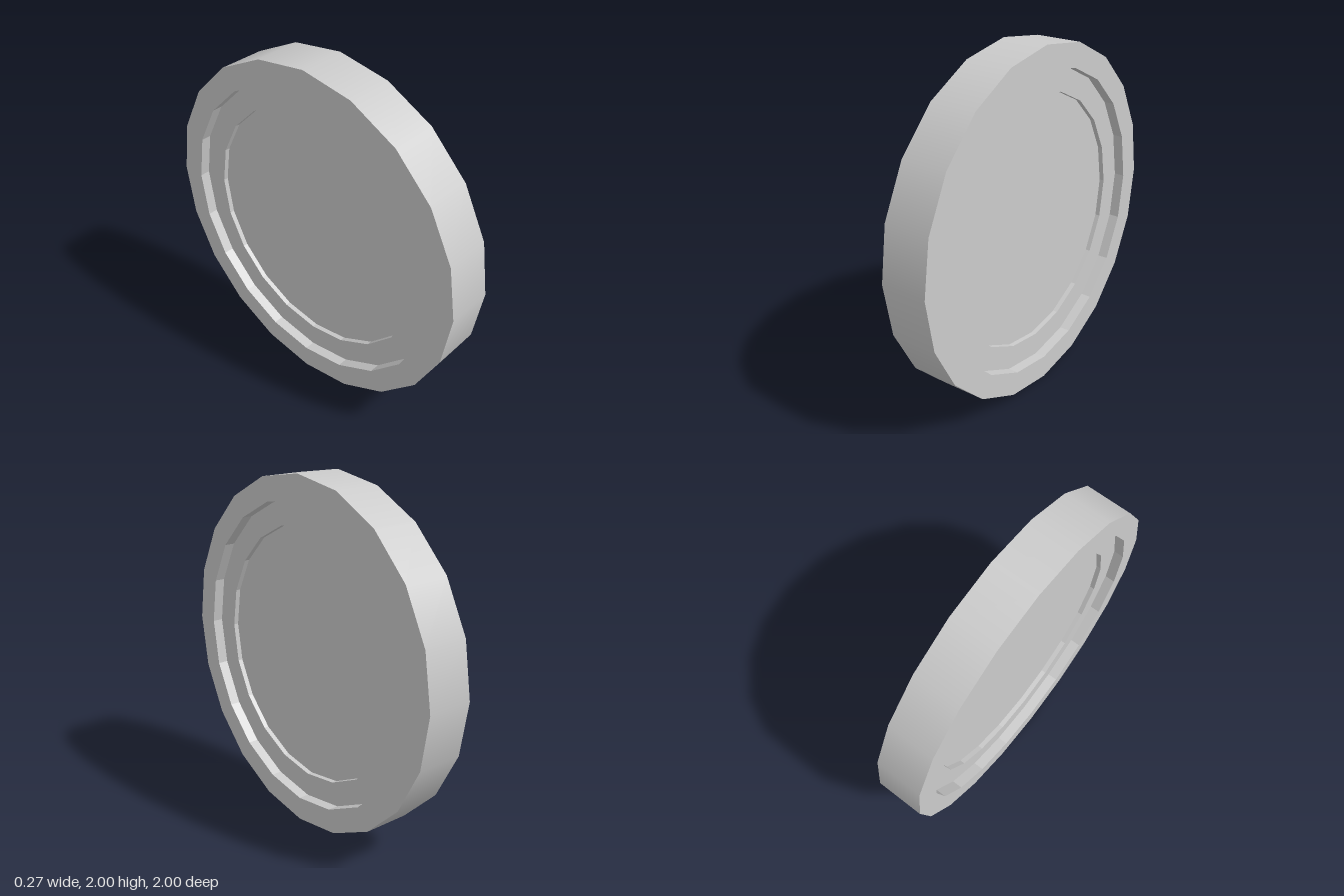
import * as THREE from 'three';

const SIDES = 20;
const HALF = 0.135;      // half thickness of the rim
const LEDGE = 0.075;     // half thickness at the ledge
const PANEL = 0.047;     // half thickness at the centre panel
const R_OUT = 1, R_LEDGE = 0.863, R_PANEL = 0.725;

export function createModel() {
  const group = new THREE.Group();
  group.name = 'disc';

  // Revolve a [radius, offset] profile around the x axis
  const revolve = (name, profile, flatShading) => {
    const geometry = new THREE.LatheGeometry(profile.map(([r, o]) => new THREE.Vector2(r, o)), SIDES);
    geometry.rotateZ(-Math.PI / 2);
    const mesh = new THREE.Mesh(geometry, new THREE.MeshStandardMaterial({ color: 0xcccccc, flatShading }));
    mesh.name = name;
    mesh.position.y = 1;
    group.add(mesh);
  };

  // Smooth outer edge
  revolve('outerEdge', [[R_OUT, -HALF], [R_OUT, HALF]], false);

  // Rim face, ledge and recessed panel, mirrored on both sides
  for (const [side, s] of [['left', 1], ['right', -1]]) {
    const part = (name, profile) => {
      const points = profile.map(([r, o]) => [r, o * s]);
      revolve(side + name, s > 0 ? points : points.reverse(), true);
    };
    part('Rim', [[R_OUT, HALF], [R_LEDGE, HALF], [R_LEDGE, LEDGE]]);
    part('Ledge', [[R_LEDGE, LEDGE], [R_PANEL, LEDGE], [R_PANEL, PANEL]]);
    part('Panel', [[R_PANEL, PANEL], [0, PANEL]]);
  }
  return group;
}
